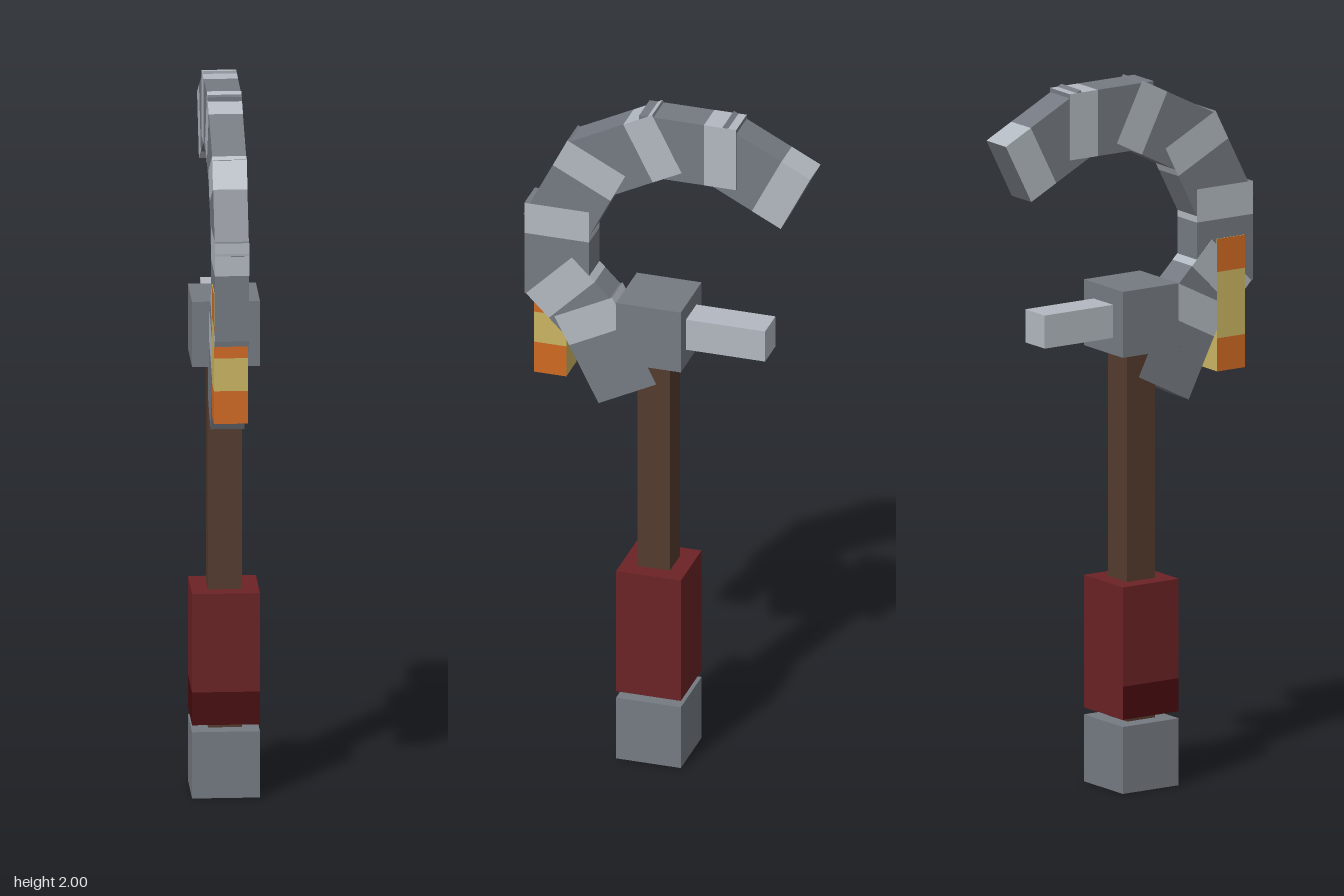
import * as THREE from 'three';

const mat = (name, color) => {
  const m = new THREE.MeshStandardMaterial({ color });
  m.name = name;
  return m;
};

export function createModel() {
  const steel = mat('steel', 0x757a82);
  const paleSteel = mat('paleSteel', 0xb3b9c1);
  const wood = mat('wood', 0x543b2e);
  const red = mat('red', 0x6b2225);
  const darkRed = mat('darkRed', 0x490b0e);
  const orange = mat('orange', 0xd06a22);
  const yellow = mat('yellow', 0xcbb563);

  const model = new THREE.Group();
  model.name = 'hookedWeapon';
  const U = 0.094; // one block unit
  const Z = 0.041; // shaft axis

  const box = (parent, name, w, h, d, x, y, z, material) => {
    const mesh = new THREE.Mesh(new THREE.BoxGeometry(w, h, d), material);
    mesh.name = name;
    mesh.position.set(x, y, z);
    parent.add(mesh);
    return mesh;
  };

  // Shaft, pommel and hub
  box(model, 'pommel', 2 * U, 0.19, 2 * U, 0, 0.095, Z, steel);
  box(model, 'shaft', U, 1.07, U, 0, 0.715, Z, wood);
  box(model, 'hub', 2 * U, 0.187, 2 * U, 0, 1.331, Z, steel);
  box(model, 'backSpike', U, U, 0.235, 0, 1.332, -0.165, paleSteel);

  // Grip: the lowest quarter is dark on the front, right and underside
  // (material order: +x, -x, +y, -y, +z, -z)
  box(model, 'grip', 2 * U, 3 * U, 2 * U, 0, 0.21 + 2.5 * U, Z, red);
  box(model, 'gripBase', 2 * U, U, 2 * U, 0, 0.21 + 0.5 * U, Z,
    [red, darkRed, red, darkRed, darkRed, red]);

  // Curved hook: overlapping blocks [tilt in degrees, y, z], each with a pale outer third
  const segments = [
    [27, 1.245, 0.181],
    [45, 1.354, 0.245],
    [0, 1.528, 0.322],
    [-27, 1.716, 0.271],
    [-63, 1.855, 0.128],
    [-90, 1.902, -0.058],
    [-117, 1.855, -0.245],
  ];
  const hook = new THREE.Group();
  hook.name = 'hook';
  model.add(hook);
  segments.forEach(([tilt, y, z], i) => {
    const seg = new THREE.Group();
    seg.name = `hookSegment${i + 1}`;
    seg.position.set(0, y, z);
    seg.rotation.x = THREE.MathUtils.degToRad(tilt);
    const w = U + (i % 2) * 0.0006;
    box(seg, 'segmentBody', w, 2 * U, 2 * U, 0, -U / 2, 0, steel);
    box(seg, 'segmentBand', w + 0.001, U, 2 * U, 0, U, 0,
      [paleSteel, paleSteel, steel, steel, paleSteel, paleSteel]);
    hook.add(seg);
  });

  // Banded charm hanging on the front of the hook, bottom to top
  const o = orange, g = yellow;
  const bands = [
    [o, o, o, o, o, g],
    g,
    [o, g, o, o, o, o],
    [g, o, g, g, g, g],
  ];
  const charm = new THREE.Group();
  charm.name = 'charm';
  model.add(charm);
  bands.forEach((material, i) =>
    box(charm, `charmBand${i + 1}`, U, U, U, -0.002, 1.144 + (i + 0.5) * U, 0.342, material));

  return model;
}
